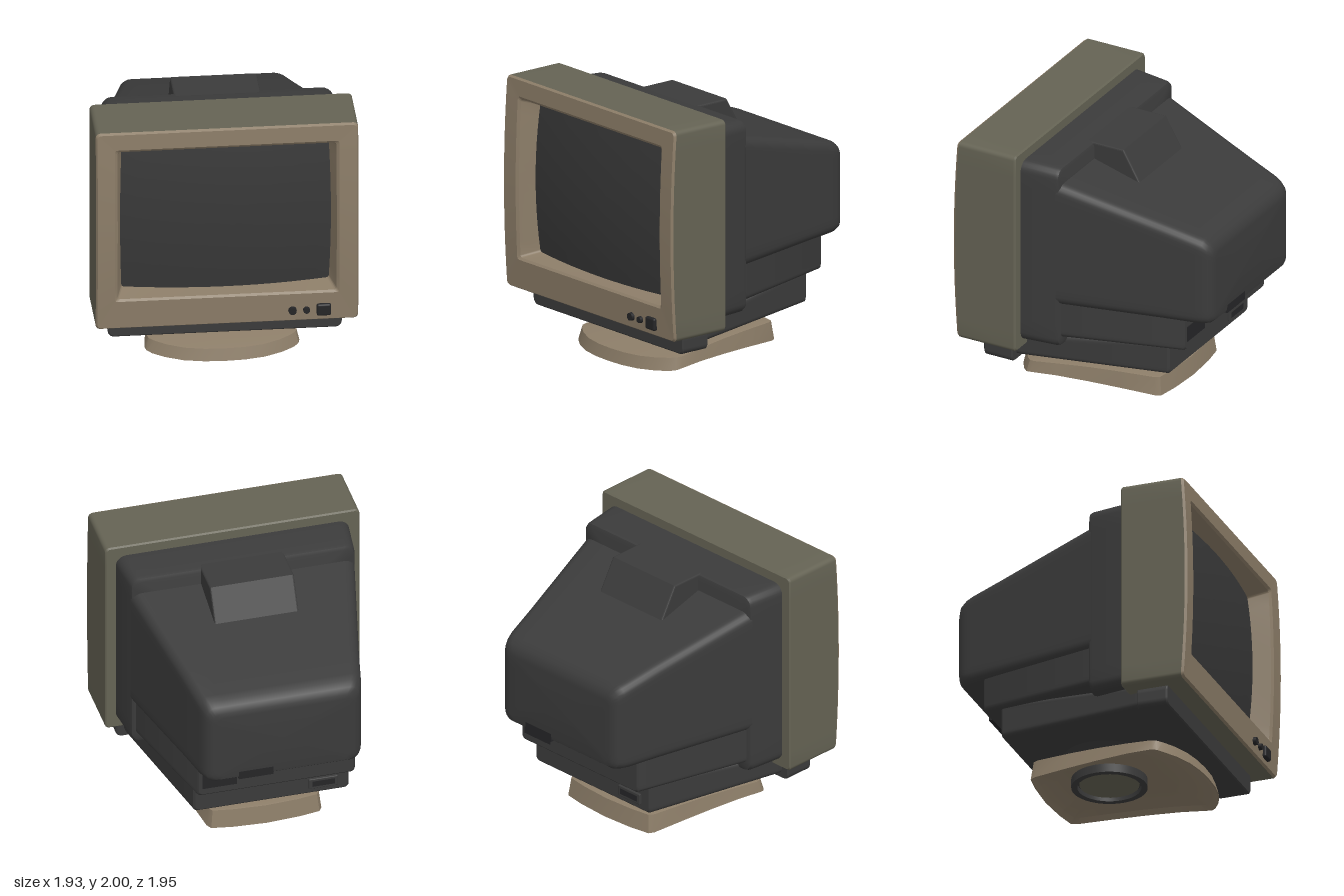
import * as THREE from 'three';
import { toCreasedNormals } from 'three/addons/utils/BufferGeometryUtils.js';
import { RoundedBoxGeometry } from 'three/addons/geometries/RoundedBoxGeometry.js';

const mat = (name, color, side = THREE.FrontSide) => {
  const m = new THREE.MeshStandardMaterial({ color, side });
  m.name = name;
  return m;
};

// Rounded rectangle in x/y; z is a number or a rule of (x, y); barrel bows the edges out
function ring(w, y0, y1, r, z, barrel = 0) {
  const pts = [], h = (y1 - y0) / 2, cy = (y0 + y1) / 2, arc = 5, edge = 12;
  const corners = [[1, -1], [1, 1], [-1, 1], [-1, -1]];
  const at = (k, a) => {
    const [sx, sy] = corners[k % 4], t = (k - 1 + a) * Math.PI / 2;
    return [sx * (w - r) + r * Math.cos(t), sy * (h - r) + r * Math.sin(t)];
  };
  for (let k = 0; k < 4; k++) {
    for (let i = 0; i <= arc; i++) pts.push(at(k, i / arc));
    const p = at(k, 1), q = at(k + 1, 0);
    for (let i = 1; i < edge; i++) pts.push([p[0] + (q[0] - p[0]) * i / edge, p[1] + (q[1] - p[1]) * i / edge]);
  }
  return pts.map(([x, y]) => {
    const X = x + barrel * (x / w) * (1 - (y / h) ** 2);
    const Y = cy + y + barrel * (y / h) * (1 - (x / w) ** 2);
    return [X, Y, typeof z === 'function' ? z(X, Y) : z];
  });
}

// Skin over matching rings, with optional centre-fan caps
function loft(rings, capStart = true, capEnd = true, crease = 0.6) {
  const pos = [], n = rings[0].length;
  const mid = (r) => [0, 1, 2].map((k) => r.reduce((s, p) => s + p[k], 0) / n);
  const last = rings[rings.length - 1], c0 = mid(rings[0]), c1 = mid(last);
  for (let j = 0; j < n; j++) {
    const k = (j + 1) % n;
    for (let i = 0; i + 1 < rings.length; i++) {
      const a = rings[i][j], b = rings[i][k], c = rings[i + 1][k], d = rings[i + 1][j];
      pos.push(...a, ...b, ...c, ...a, ...c, ...d);
    }
    if (capStart) pos.push(...c0, ...rings[0][k], ...rings[0][j]);
    if (capEnd) pos.push(...c1, ...last[j], ...last[k]);
  }
  const g = new THREE.BufferGeometry();
  g.setAttribute('position', new THREE.Float32BufferAttribute(pos, 3));
  return toCreasedNormals(g, crease);
}

// Piecewise-linear lookup
function lerpTable(table, t) {
  for (let i = 0; i + 1 < table.length; i++) {
    const [a, va] = table[i], [b, vb] = table[i + 1];
    if (t <= b) return va + (vb - va) * Math.max(0, (t - a) / (b - a));
  }
  return table[table.length - 1][1];
}

export function createModel() {
  const group = new THREE.Group();
  const tan = mat('tan plastic', 0x8c7d68), olive = mat('olive plastic', 0x656354);
  const charcoal = mat('charcoal plastic', 0x3b3b3b), glass = mat('screen glass', 0x383838);
  const black = mat('black trim', 0x252527);
  const add = (name, geo, material, x = 0, y = 0, z = 0) => {
    const m = new THREE.Mesh(geo, material);
    m.name = name;
    m.position.set(x, y, z);
    group.add(m);
    return m;
  };

  // Bezel: olive outer band, tan bowed front and recessed lip
  const front = (d) => (x, y) => 0.945 + 0.032 * (1 - ((y - 1.195) / 0.805) ** 2) - d;
  const screenZ = (x, y) => 0.875 - 0.05 * (x / 0.77) ** 2 - 0.04 * ((y - 1.23) / 0.58) ** 2;
  const outer = ring(0.965, 0.39, 2, 0.035, front(0.018));
  const lip = ring(0.762, 0.66, 1.80, 0.02, screenZ, 0.013);
  add('bezelBand', loft([
    ring(0.955, 0.4, 1.99, 0.03, 0.455), ring(0.965, 0.39, 2, 0.035, 0.467), outer,
  ], true, false), olive);
  add('bezelFront', loft([
    outer, ring(0.953, 0.402, 1.988, 0.03, front(0)),
    ring(0.825, 0.62, 1.865, 0.02, front(0.004)), ring(0.805, 0.635, 1.845, 0.02, front(0.02)), lip,
  ], false, false, 0.5), tan);

  // Domed screen
  const shrink = (s) => lip.map(([x, y]) => {
    const X = x * s, Y = 1.23 + (y - 1.23) * s;
    return [X, Y, screenZ(X, Y)];
  });
  add('screen', loft([1, 0.85, 0.7, 0.5, 0.3, 0.1].map(shrink), false, true), glass);

  // Controls on the lower bezel
  const knob = (r) => new THREE.CylinderGeometry(r * 0.9, r, 0.03, 20).rotateX(Math.PI / 2);
  add('brightnessKnob', knob(0.032), black, 0.48, 0.485, 0.96);
  add('contrastKnob', knob(0.026), black, 0.583, 0.485, 0.96);
  add('powerButton', new RoundedBoxGeometry(0.105, 0.095, 0.05, 3, 0.015), black, 0.71, 0.485, 0.952);

  // Housing: collar behind the bezel, then the tapering tube cover
  add('collar', loft([
    ring(0.82, 0.48, 1.875, 0.06, 0.155), ring(0.842, 0.455, 1.9, 0.07, 0.165),
    ring(0.852, 0.445, 1.908, 0.075, 0.19), ring(0.885, 0.445, 1.92, 0.08, 0.46),
  ]), charcoal);
  add('tubeCover', loft([
    ring(0.50, 0.85, 1.37, 0.05, -0.975), ring(0.54, 0.822, 1.405, 0.06, -0.97),
    ring(0.58, 0.802, 1.45, 0.07, -0.945), ring(0.602, 0.792, 1.482, 0.075, -0.9),
    ring(0.618, 0.79, 1.50, 0.075, -0.85), ring(0.67, 0.79, 1.57, 0.075, -0.6),
    ring(0.85, 0.79, 1.785, 0.075, 0.18),
  ]), charcoal);

  // Raised hump on top
  const profile = new THREE.Shape([[0.25, 1.895], [-0.08, 1.895], [-0.215, 1.66], [-0.1, 1.58], [0.25, 1.58]]
    .map(([z, y]) => new THREE.Vector2(z, y)));
  const hump = new THREE.ExtrudeGeometry(profile, {
    depth: 0.61, bevelEnabled: true, bevelSize: 0.014, bevelThickness: 0.014, bevelSegments: 3,
  });
  hump.rotateY(-Math.PI / 2).translate(0.305, 0, 0);
  add('topHump', hump, charcoal);

  // Stepped boxes below the tube cover
  add('lowerHousing', loft([
    ring(0.585, 0.56, 0.85, 0.03, -0.76), ring(0.6, 0.545, 0.86, 0.035, -0.745),
    ring(0.825, 0.52, 0.86, 0.04, 0.2),
  ]), charcoal);
  add('underTray', loft([
    ring(0.575, 0.33, 0.58, 0.03, -0.625), ring(0.59, 0.315, 0.58, 0.035, -0.61),
    ring(0.795, 0.28, 0.46, 0.035, 0.5), ring(0.8, 0.28, 0.42, 0.035, 0.56),
  ]), charcoal);
  add('frontRail', loft([
    ring(0.85, 0.245, 0.4, 0.04, 0.54), ring(0.86, 0.24, 0.4, 0.045, 0.55),
    ring(0.86, 0.24, 0.4, 0.045, 0.77), ring(0.85, 0.25, 0.4, 0.04, 0.78),
  ]), charcoal);

  // Rear sockets
  add('rearNotch', new THREE.BoxGeometry(0.26, 0.065, 0.03), black, 0.21, 0.835, -0.961);
  add('rearSocketPanel', new THREE.BoxGeometry(0.26, 0.12, 0.008), black, 0.43, 0.67, -0.761);
  add('rearConnector', new RoundedBoxGeometry(0.22, 0.085, 0.04, 2, 0.006), charcoal, -0.39, 0.41, -0.625);
  add('rearConnectorFace', new THREE.BoxGeometry(0.17, 0.045, 0.006), black, -0.39, 0.41, -0.644);

  // Swivel: flared neck, hollow at the bottom
  const neck = new THREE.LatheGeometry([
    [0.001, 0.10], [0.235, 0.10], [0.235, 0.06], [0.28, 0.06], [0.28, 0.255], [0.335, 0.305], [0.001, 0.32],
  ].map(([r, y]) => new THREE.Vector2(r, y)), 48);
  add('swivelNeck', toCreasedNormals(neck, 0.5), charcoal);
  add('swivelDisc', new THREE.CylinderGeometry(0.22, 0.22, 0.02, 40), olive, 0, 0.092, 0);

  // Base: dished trapezoid plate with a bowed front edge
  const half = [[0, 0.78], [0.15, 0.773], [0.3, 0.745], [0.43, 0.69], [0.52, 0.63], [0.56, 0.59], [0.57, 0.55],
    [0.545, 0.35], [0.51, 0.1], [0.475, -0.15], [0.435, -0.42], [0.41, -0.46], [0.25, -0.485], [0, -0.5]];
  const outline = [...half, ...half.slice(1, -1).reverse().map(([x, z]) => [-x, z])];
  const under = (z) => lerpTable([[-0.5, 0.02], [0, 0.04], [0.5, 0.04], [0.63, 0.012], [0.78, 0]], z);
  const over = (z) => lerpTable([[-0.5, 0.166], [0, 0.158], [0.35, 0.133], [0.55, 0.115], [0.78, 0.092]], z);
  const baseRing = (s, y) => outline.map(([x, z]) => [x * s, y(z), 0.06 + (z - 0.06) * s]);
  add('base', loft([
    baseRing(0.6, () => 0.125), baseRing(0.93, (z) => under(z) + 0.035), baseRing(0.985, under),
    baseRing(1, (z) => under(z) + 0.002), baseRing(0.965, over), baseRing(0.945, (z) => over(z) + 0.004),
    baseRing(0.5, () => 0.163),
  ], true, true, 0.5), tan);

  return group;
}
